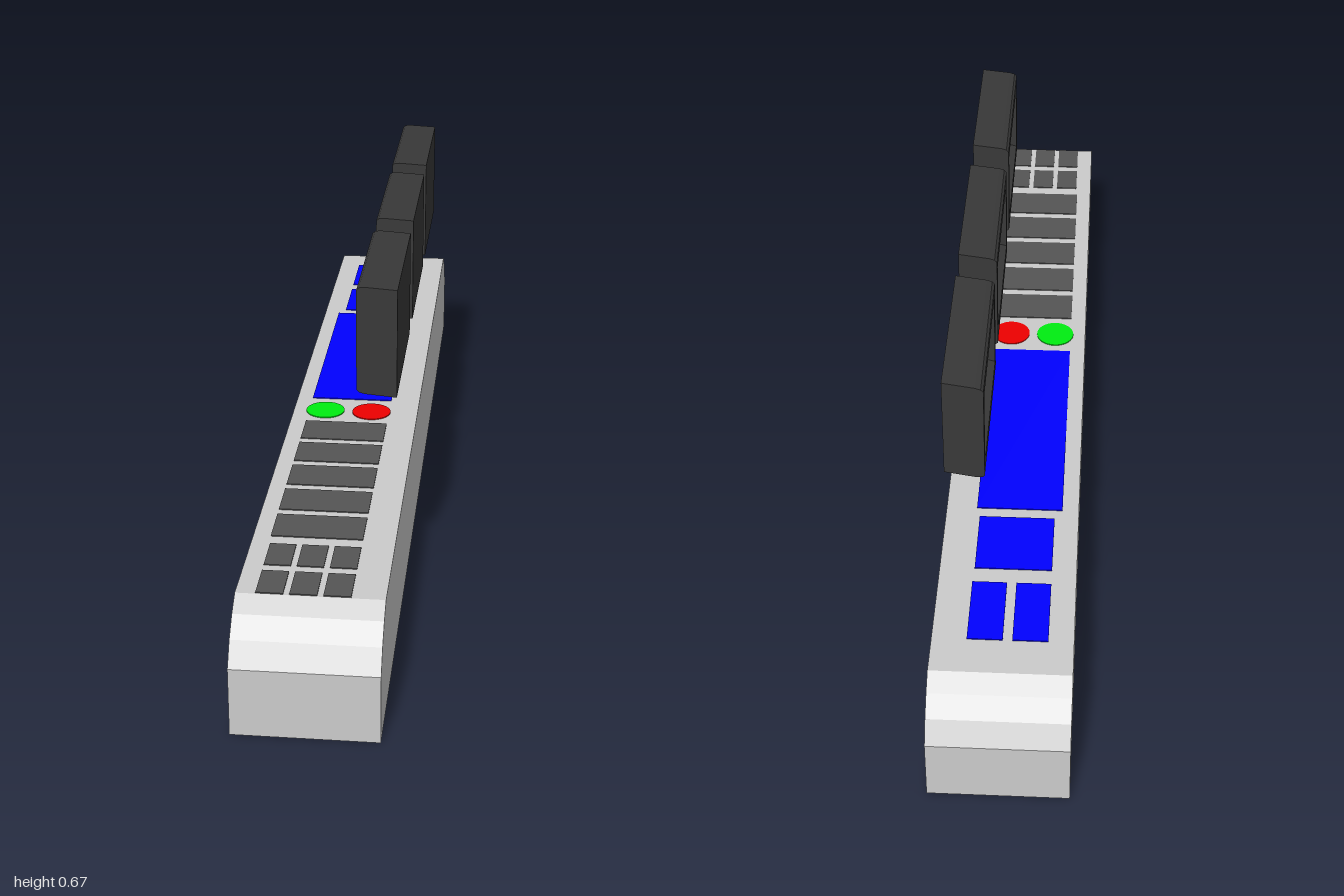
import * as THREE from 'three';

const mat = (color, extra = {}) => new THREE.MeshStandardMaterial({ color, flatShading: true, ...extra });

function add(parent, name, geometry, material, x = 0, y = 0, z = 0) {
  const mesh = new THREE.Mesh(geometry, material);
  mesh.name = name;
  mesh.position.set(x, y, z);
  parent.add(mesh);
  return mesh;
}

// Skin over four-cornered rings running from +x to -x, with the first ring capped.
function loft(rings) {
  const pos = [];
  const quad = (a, b, c, d) => [a, b, c, a, c, d].forEach(p => pos.push(...p));
  const [s] = rings;
  quad(s[3], s[2], s[1], s[0]);
  for (let i = 0; i < rings.length - 1; i++) {
    for (let k = 0; k < 4; k++) {
      const n = (k + 1) % 4;
      quad(rings[i][k], rings[i][n], rings[i + 1][n], rings[i + 1][k]);
    }
  }
  const g = new THREE.BufferGeometry();
  g.setAttribute('position', new THREE.Float32BufferAttribute(pos, 3));
  g.computeVertexNormals();
  return g;
}

// Rectangle across x; its centre slides along z with x, giving the slanted ends.
function ring(x, halfH, halfW) {
  const s = 0.19 * x;
  return [[x, -halfH, s - halfW], [x, -halfH, s + halfW], [x, halfH, s + halfW], [x, halfH, s - halfW]];
}

export function createModel() {
  const model = new THREE.Group();
  model.name = 'controlConsole';
  const TOP = 0.229;

  // Long body with faceted round shoulders at both ends
  const side = [[1, 0], [1, 0.132], [0.973, 0.175], [0.94, 0.207], [0.905, TOP]];
  const outline = [...side, ...side.map(([z, y]) => [-z, y]).reverse()];
  const shape = new THREE.Shape(outline.map(p => new THREE.Vector2(...p)));
  const body = new THREE.ExtrudeGeometry(shape, { depth: 0.266, bevelEnabled: false });
  body.translate(0, 0, -0.133).rotateY(-Math.PI / 2);
  add(model, 'body', body, mat(0xcccccc));

  // Thin panels set into the top
  const blue = mat(0x0000ff);
  const grey = mat(0x555555);
  const panel = (name, x0, x1, z0, z1, material) => add(model, name,
    new THREE.BoxGeometry(x1 - x0, 0.004, z1 - z0), material, (x0 + x1) / 2, TOP, (z0 + z1) / 2);

  panel('mainDisplay', -0.1, 0.072, -0.47, 0.05, blue);
  panel('middleDisplay', -0.085, 0.065, -0.64, -0.495, blue);
  panel('smallDisplayRight', -0.085, -0.018, -0.825, -0.677, blue);
  panel('smallDisplayLeft', 0, 0.067, -0.825, -0.677, blue);

  for (let i = 0; i < 5; i++) {
    const z = 0.172 + i * 0.108;
    panel('wideKey', -0.1, 0.072, z, z + 0.088, grey);
  }
  for (let r = 0; r < 2; r++) {
    for (let c = 0; c < 3; c++) {
      const x = -0.097 + c * 0.06, z = 0.722 + r * 0.101;
      panel('smallKey', x, x + 0.049, z, z + 0.08, grey);
    }
  }

  // Round buttons
  const disc = new THREE.CylinderGeometry(0.041, 0.041, 0.004, 32);
  add(model, 'greenButton', disc, mat(0x00ee11), -0.065, TOP, 0.112);
  add(model, 'redButton', disc, mat(0xee0000), 0.034, TOP, 0.112);

  // Row of floating monitors, screens facing -x
  const frame = loft([
    ring(0.04, 0.107, 0.167), ring(-0.022, 0.107, 0.167),
    ring(-0.033, 0.105, 0.167), ring(-0.038, 0.1, 0.167),
    ring(-0.038, 0.077, 0.148), ring(-0.018, 0.073, 0.146),
  ]);
  const glass = new THREE.BoxGeometry(0.004, 0.15, 0.296);
  const black = mat(0x383838);
  const dim = mat(0x5a5a5a);
  for (const z of [0.366, -0.048, -0.454]) {
    const monitor = new THREE.Group();
    monitor.name = 'monitor';
    monitor.position.set(0.081, 0.56, z);
    add(monitor, 'monitorFrame', frame, black);
    add(monitor, 'monitorScreen', glass, dim, -0.016, 0, -0.003);
    model.add(monitor);
  }
  return model;
}
